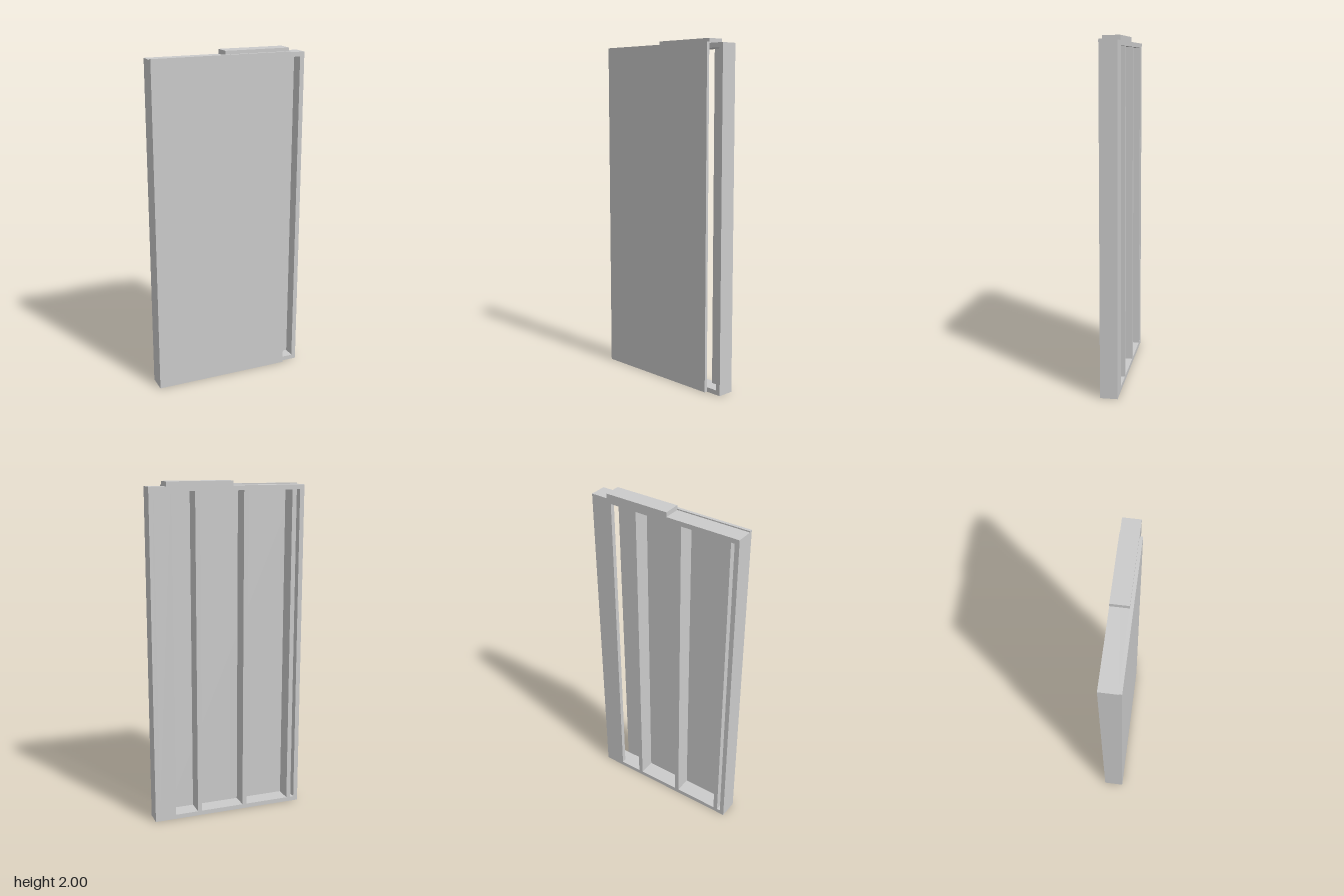
import * as THREE from 'three';

const T = 0.027;               // lumber thickness
const BACK = -0.06, FRONT = 0.04; // frame depth
const TOP = 1.973;             // top of the main frame

export function createModel() {
  const wall = new THREE.Group();
  wall.name = 'framedWallPanel';
  const material = new THREE.MeshStandardMaterial({ color: 0xcccccc });

  // box given by its limits on each axis
  function board(name, x0, x1, y0, y1, z0 = BACK, z1 = FRONT) {
    const mesh = new THREE.Mesh(new THREE.BoxGeometry(x1 - x0, y1 - y0, z1 - z0), material);
    mesh.position.set((x0 + x1) / 2, (y0 + y1) / 2, (z0 + z1) / 2);
    mesh.name = name;
    wall.add(mesh);
  }

  // horizontal plates
  board('bottomPlate', -0.466, 0.465, 0, T);
  board('topPlate', -0.466, 0.465, TOP - T, TOP);
  board('capPlate', -0.027, 0.365, TOP, 2);

  // upright studs, by their left-hand edge on x
  [-0.466, -0.418, -0.119, 0.172, 0.438].forEach((x, i) =>
    board(`stud${i + 1}`, x, x + T, T, TOP - T));

  // corner backing stud, turned flat against the back
  board('cornerBackingStud', 0.338, 0.438, T, TOP - T, BACK, BACK + T);

  // front sheathing, stopping short of the corner
  board('sheathing', -0.466, 0.365, 0, 1.98, FRONT, 0.058);

  return wall;
}
